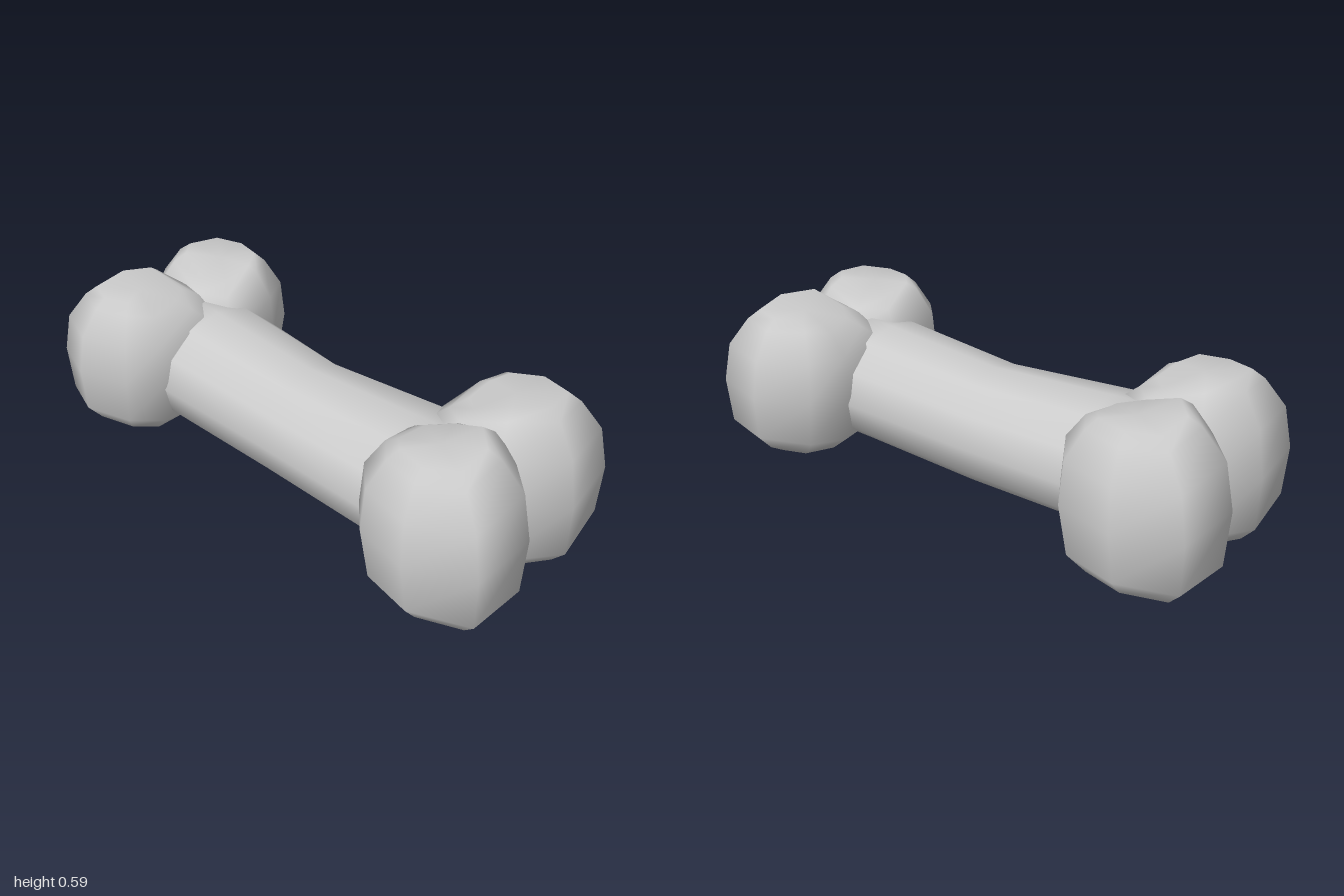
import * as THREE from 'three';

// Smooth closed skin through rings of equal point count, with a centre point at each end.
function loft(name, rings, material) {
  const n = rings[0].length;
  const pos = rings.flat(2);
  const index = [];
  rings.slice(1).forEach((_, i) => {
    for (let j = 0; j < n; j++) {
      const a = i * n + j, b = i * n + (j + 1) % n;
      index.push(a, a + n, b, b, a + n, b + n);
    }
  });
  [0, rings.length - 1].forEach((r) => {
    const centre = pos.length / 3;
    for (let k = 0; k < 3; k++) pos.push(rings[r].reduce((s, p) => s + p[k], 0) / n);
    for (let j = 0; j < n; j++) {
      const a = r * n + j, b = r * n + (j + 1) % n;
      index.push(centre, ...(r === 0 ? [a, b] : [b, a]));
    }
  });
  const geometry = new THREE.BufferGeometry();
  geometry.setAttribute('position', new THREE.Float32BufferAttribute(pos, 3));
  geometry.setIndex(index);
  geometry.computeVertexNormals();
  const mesh = new THREE.Mesh(geometry, material);
  mesh.name = name;
  return mesh;
}

// Centre and widest outline of each knob in x, z; all run the same way round.
// The inner corners overlap the neighbouring knob and the shaft.
const knobs = [
  ['backRightKnob', [-0.74, -0.21], [[-0.99, -0.1], [-0.98, -0.36], [-0.78, -0.44], [-0.57, -0.39],
    [-0.48, -0.25], [-0.45, 0], [-0.58, 0.11], [-0.85, 0.055]]],
  ['backLeftKnob', [0.73, -0.22], [[0.45, -0.24], [0.51, -0.37], [0.7, -0.465], [0.92, -0.41],
    [0.98, -0.15], [0.83, 0.045], [0.6, 0.1], [0.46, 0]]],
  ['frontRightKnob', [-0.73, 0.22], [[-0.97, 0.13], [-0.84, -0.03], [-0.58, -0.1], [-0.46, 0.03],
    [-0.47, 0.28], [-0.56, 0.39], [-0.75, 0.455], [-0.94, 0.39]]],
  ['frontLeftKnob', [0.75, 0.2], [[0.5, 0.29], [0.48, 0.03], [0.6, -0.1], [0.83, -0.07],
    [0.98, 0.07], [1, 0.33], [0.8, 0.43], [0.6, 0.39]]],
];

// Height from the knob's middle, and scale of the outline there; the underside is squarer.
const levels = [[-0.287, 0.42], [-0.25, 0.68], [-0.185, 0.92], [0, 1],
  [0.155, 0.92], [0.255, 0.66], [0.287, 0.5]];

function knob(name, [cx, cz], outline, material) {
  const rings = levels.map(([h, s]) => outline.map(([x, z]) => {
    const px = cx + (x - cx) * s - 0.06 * h * Math.sign(cx);
    const pz = cz + (z - cz) * s;
    // the knob is a little taller towards the middle of the bone
    const height = Math.abs(h) * (1 - 0.38 * (Math.abs(pz) - 0.17));
    // ramp down to the shaft, lowest along the bone's middle line
    const ramp = 0.2 + 0.5 * (Math.abs(px) - 0.48) - 0.4 * Math.max(0, 0.15 - pz * Math.sign(cz));
    return [px, 0.303 + Math.sign(h) * Math.min(height, ramp), pz];
  }));
  return loft(name, rings, material);
}

export function createModel() {
  const group = new THREE.Group();
  group.name = 'bone';
  const material = new THREE.MeshStandardMaterial({ color: 0xcccccc });

  // Shaft, narrowest at mid length: x, centre y, half height, half depth
  const sides = 12;
  const sections = [[-0.66, 0.279, 0.222, 0.265], [-0.48, 0.273, 0.217, 0.262], [0, 0.246, 0.21, 0.232],
    [0.48, 0.273, 0.217, 0.262], [0.66, 0.279, 0.222, 0.265]];
  group.add(loft('shaft', sections.map(([x, y, ry, rz]) =>
    Array.from({ length: sides }, (_, j) => {
      const a = (j / sides) * Math.PI * 2;
      return [x, y + ry * Math.cos(a), 0.02 - rz * Math.sin(a)];
    })), material));

  // Two knobs at each end
  for (const [name, centre, outline] of knobs) group.add(knob(name, centre, outline, material));
  return group;
}
